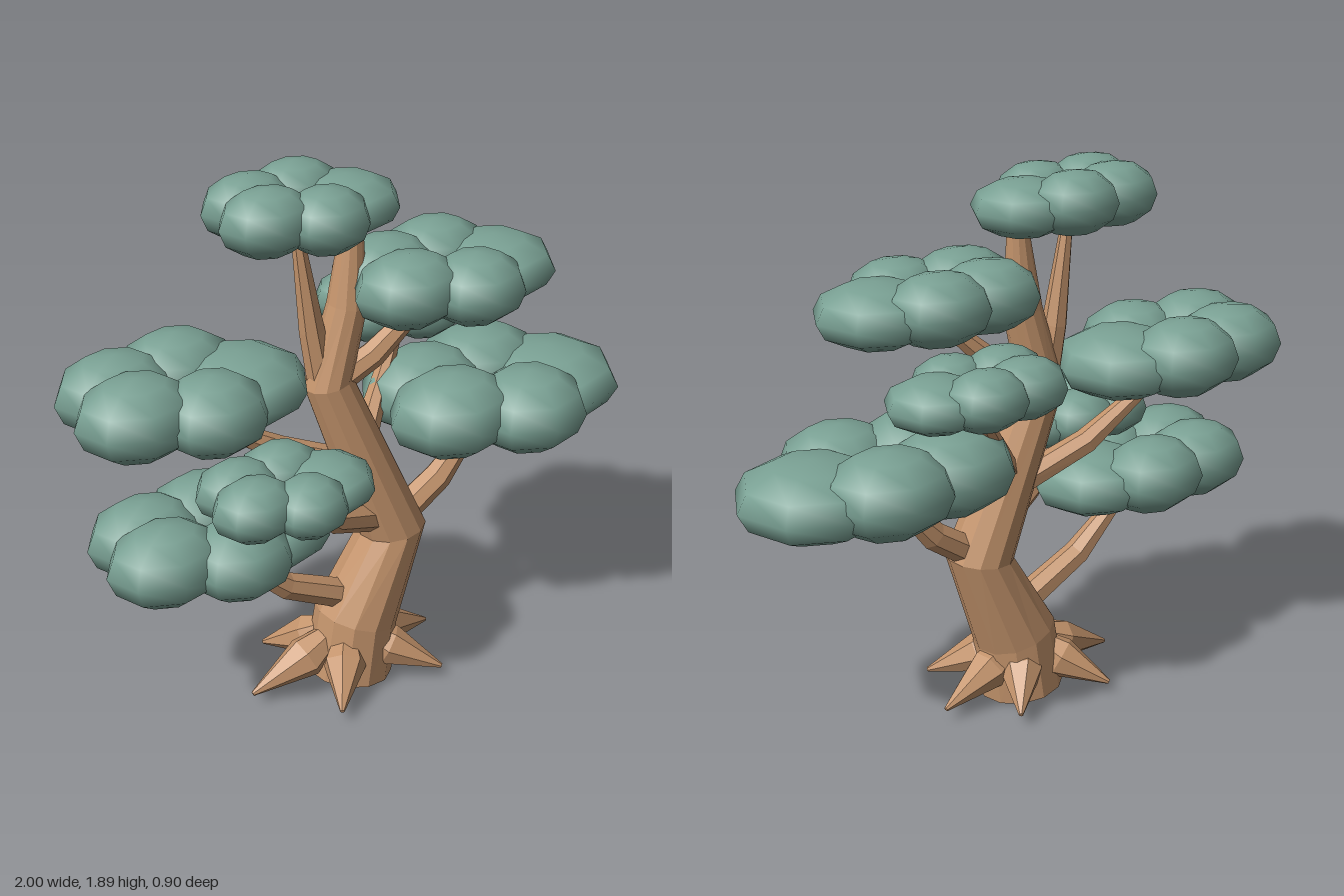
import * as THREE from 'three';

const wood = new THREE.MeshStandardMaterial({ color: 0xc4946c, flatShading: true });
const leaf = new THREE.MeshStandardMaterial({ color: 0x7aa194 });
const UP = new THREE.Vector3(0, 1, 0);

// Faceted tapering limb through rings given as [x, y, z, radius]
function limb(name, rings, sides) {
  const n = rings.length - 1;
  const points = rings.map(([x, y, z]) => new THREE.Vector3(x, y, z));
  const turns = points.map((p, i) => {
    const dir = points[Math.min(i + 1, n)].clone().sub(points[Math.max(i - 1, 0)]).normalize();
    return new THREE.Quaternion().setFromUnitVectors(UP, dir);
  });
  const geometry = new THREE.CylinderGeometry(1, 1, 1, sides, n);
  const pos = geometry.attributes.position;
  const v = new THREE.Vector3();
  for (let k = 0; k < pos.count; k++) {
    const i = Math.round((pos.getY(k) + 0.5) * n);
    v.set(pos.getX(k), 0, pos.getZ(k)).multiplyScalar(rings[i][3]);
    v.applyQuaternion(turns[i]).add(points[i]);
    pos.setXYZ(k, v.x, v.y, v.z);
  }
  geometry.computeVertexNormals();
  const mesh = new THREE.Mesh(geometry, wood);
  mesh.name = name;
  return mesh;
}

// Five flattened blobs per pad: offset x, y, z, then radius x, y, z, in pad half-sizes
const blobs = [
  [0.44, -0.1, -0.02, 0.56, 0.82, 0.72],
  [0.05, -0.06, 0.46, 0.46, 0.93, 0.54],
  [-0.5, 0.04, 0.27, 0.5, 0.95, 0.54],
  [-0.5, 0.05, -0.3, 0.5, 0.93, 0.53],
  [0.05, 0.08, -0.47, 0.49, 0.92, 0.53],
];
const blobGeometry = new THREE.SphereGeometry(1, 8, 6);

function foliagePad(name, [x, y, z], [hx, hy, hz]) {
  const pad = new THREE.Group();
  pad.name = name;
  for (const [dx, dy, dz, rx, ry, rz] of blobs) {
    const blob = new THREE.Mesh(blobGeometry, leaf);
    blob.name = 'leafBlob';
    blob.position.set(x + hx * dx, y + hy * dy, z + hz * dz);
    blob.scale.set(hx * rx, hy * ry, hz * rz);
    pad.add(blob);
  }
  return pad;
}

export function createModel() {
  const tree = new THREE.Group();
  tree.name = 'tree';

  // Zigzag trunk
  tree.add(limb('trunk', [
    [-0.07, 0.022, 0.04, 0.153], [-0.04, 0.24, 0.04, 0.147], [0.1, 0.56, 0.036, 0.119],
    [-0.125, 1.16, 0.01, 0.083], [-0.055, 1.42, 0.01, 0.066], [-0.03, 1.7, 0, 0.035],
  ], 12));

  // Branches, each reaching into a foliage pad
  const branches = {
    topBranch: [[-0.14, 1.12, 0.01, 0.05], [-0.175, 1.35, 0, 0.043], [-0.225, 1.72, 0, 0.018]],
    upperRightBranch: [[-0.12, 1.14, 0.01, 0.05], [0.03, 1.23, 0.03, 0.045], [0.24, 1.43, 0.06, 0.025]],
    backBranch: [[0.0, 0.84, 0, 0.045], [0.1, 0.98, -0.09, 0.038], [0.26, 1.21, -0.21, 0.022]],
    rightBranch: [[0.1, 0.56, 0.03, 0.055], [0.29, 0.69, 0.02, 0.05], [0.46, 0.88, 0.01, 0.025]],
    upperLeftBranch: [[0.0, 0.8, 0, 0.05], [-0.28, 0.92, -0.04, 0.045], [-0.56, 1.1, -0.05, 0.022]],
    frontBranch: [[0.06, 0.61, 0.05, 0.052], [-0.17, 0.71, 0.14, 0.045], [-0.35, 0.87, 0.22, 0.024]],
    lowerLeftBranch: [[-0.04, 0.31, 0.04, 0.055], [-0.32, 0.45, 0.06, 0.047], [-0.56, 0.66, 0.08, 0.022]],
  };
  for (const [name, rings] of Object.entries(branches)) tree.add(limb(name, rings, 7));

  // Spiky roots around the base, at these angles in degrees
  for (const degrees of [174, 113, 43, -17, -64, -125]) {
    const a = THREE.MathUtils.degToRad(degrees);
    const ring = (d, y, r) => [-0.08 + 0.38 * d * Math.cos(a), y, 0.045 + 0.28 * d * Math.sin(a), r];
    tree.add(limb('root', [ring(0.14, 0.19, 0.04), ring(0.44, 0.125, 0.075), ring(1, 0.05, 0.008)], 7));
  }

  // Foliage pads: centre and half-sizes
  tree.add(
    foliagePad('crownFoliage', [-0.19, 1.775, 0], [0.32, 0.115, 0.235]),
    foliagePad('upperRightFoliage', [0.285, 1.49, 0.07], [0.38, 0.13, 0.285]),
    foliagePad('backFoliage', [0.285, 1.275, -0.23], [0.3, 0.107, 0.225]),
    foliagePad('rightFoliage', [0.535, 0.965, -0.01], [0.465, 0.157, 0.355]),
    foliagePad('upperLeftFoliage', [-0.59, 1.205, -0.045], [0.41, 0.145, 0.315]),
    foliagePad('frontFoliage', [-0.37, 0.93, 0.225], [0.295, 0.11, 0.225]),
    foliagePad('lowerLeftFoliage', [-0.57, 0.735, 0.08], [0.405, 0.145, 0.3])
  );
  return tree;
}
